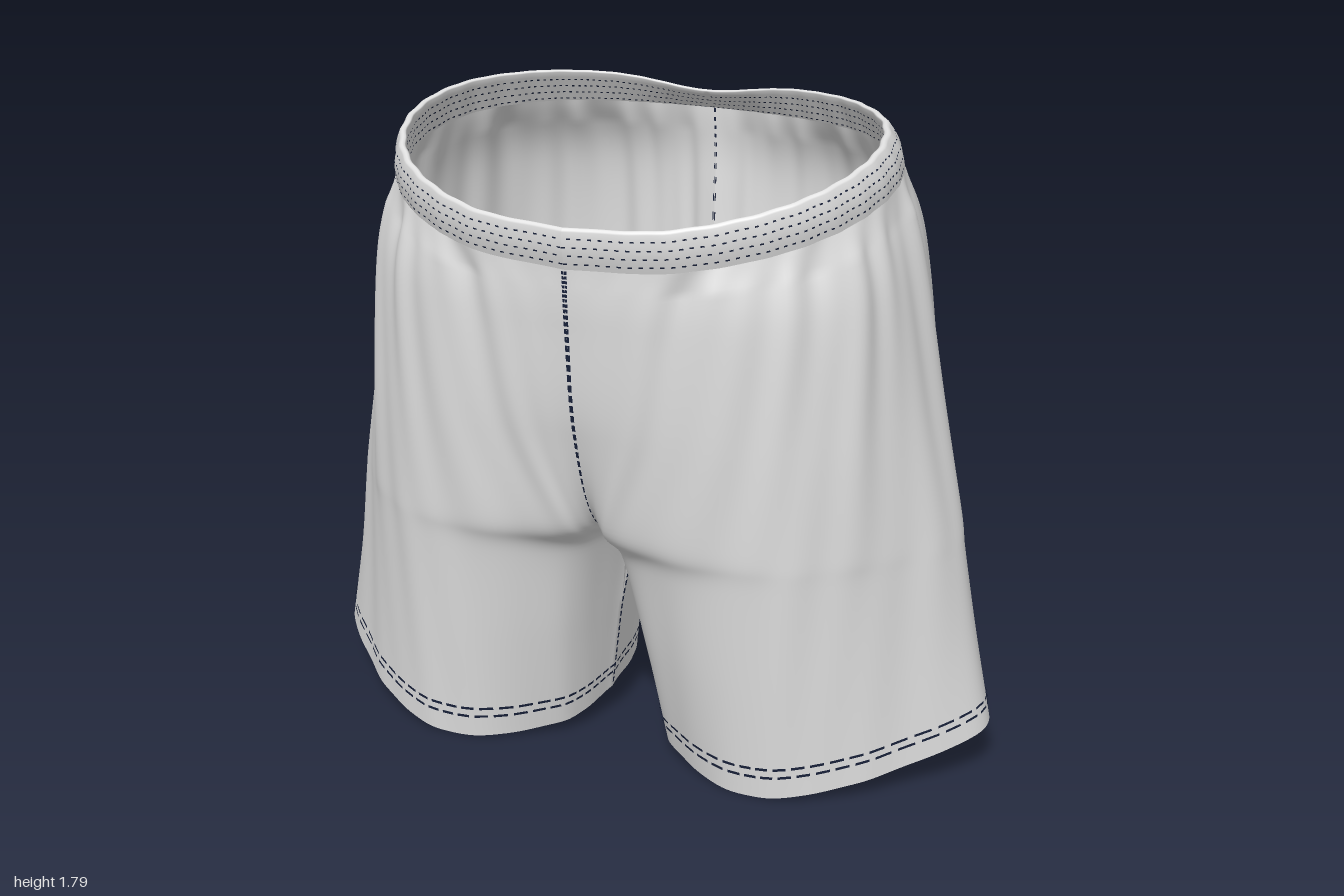
import * as THREE from 'three';
import { mergeVertices } from 'three/addons/utils/BufferGeometryUtils.js';

const fabric = new THREE.MeshStandardMaterial({ color: 0xe0e0e0, side: THREE.DoubleSide });
fabric.name = 'light grey fabric';
const thread = new THREE.MeshStandardMaterial({ color: 0x18213a, side: THREE.DoubleSide });
thread.name = 'navy thread';

// Half sections from waist to hem: x, z pairs from front seam, round the outside, to back seam
const SECTIONS = [
  [0, .54, .28, .505, .51, .39, .65, .23, .70, .03, .65, -.18, .51, -.34, .34, -.42, .16, -.455, 0, -.465],
  [0, .53, .25, .515, .53, .42, .70, .24, .755, .02, .70, -.25, .54, -.45, .34, -.515, .15, -.51, 0, -.47],
  [0, .49, .20, .50, .51, .44, .72, .26, .825, 0, .74, -.28, .57, -.505, .34, -.545, .13, -.50, 0, -.42],
  [0, .37, .10, .45, .48, .445, .735, .26, .89, -.02, .76, -.275, .575, -.515, .34, -.545, .11, -.47, 0, -.24],
  [0, .12, .10, .37, .47, .435, .735, .26, .91, -.02, .77, -.275, .58, -.52, .35, -.54, .11, -.38, 0, .12],
  [.045, .10, .14, .31, .46, .41, .735, .265, .95, -.03, .79, -.27, .59, -.525, .37, -.535, .14, -.29, .045, .10],
  [.09, .07, .17, .24, .45, .38, .74, .265, 1, -.04, .81, -.26, .60, -.525, .38, -.53, .16, -.26, .09, .07],
];
const HEIGHT = [1.645, 1.43, 1.05, .74, .62, .36, .08];
const TILT = [.19, .15, .05, 0, 0, 0, 0];
const BEND = [.20, .08, 0, 0, 0, 0, 0];
const LIFT = [0, -.05, -.08, -.03, .05, .05, .03, 0, -.02, 0];
const U = 9, V = 6;

// Smooth interpolation through a list of numbers
function spline(a, t) {
  const n = a.length - 1, i = Math.min(Math.floor(t), n - 1), f = t - i;
  const p1 = a[i], p2 = a[i + 1];
  const p0 = i > 0 ? a[i - 1] : 2 * p1 - p2;
  const p3 = i + 2 <= n ? a[i + 2] : 2 * p2 - p1;
  return p1 + .5 * f * (p2 - p0 + f * (2 * p0 - 5 * p1 + 4 * p2 - p3 + f * (3 * (p1 - p2) + p3 - p0)));
}
const column = (row, k) => row.filter((_, i) => i % 2 === k);
const XS = SECTIONS.map(r => column(r, 0));
const ZS = SECTIONS.map(r => column(r, 1));
const sectionY = (i, z) => HEIGHT[i] - TILT[i] * z - BEND[i] * z * z;

// Smooth leg surface before folds
function smoothLeg(u, v) {
  const xs = XS.map(r => spline(r, u)), zs = ZS.map(r => spline(r, u));
  const lift = spline(LIFT, u);
  const ys = zs.map((z, i) => sectionY(i, z) + lift * Math.max(0, i - 4) / 2);
  return new THREE.Vector3(Math.max(0, spline(xs, v)), spline(ys, v), spline(zs, v));
}

// Leg surface with soft gathers hanging from the waist
function leg(u, v) {
  const p = smoothLeg(u, v), e = .02;
  const a = smoothLeg(Math.max(0, u - e), v), b = smoothLeg(Math.min(U, u + e), v);
  const dx = b.x - a.x, dz = b.z - a.z, len = Math.hypot(dx, dz) || 1;
  const ends = Math.min(1, u / 1.2, (U - u) / 1.2);
  const fade = ends * Math.min(1, v * 2.5) * (.2 + .8 * Math.exp(-v * .45));
  const fold = fade * (.008 * Math.sin(4.7 * u + .25 * v) + .008 * Math.sin(9.1 * u + 1 - .3 * v)
    + .004 * Math.sin(15 * u + v));
  p.x = Math.max(0, p.x - dz / len * fold);
  p.z += dx / len * fold;
  return p;
}

// Elastic waistband: v 0..1 outer face, 1..2 rim, 2..3 inner face
function band(u, v) {
  const x = spline(XS[0], u), z = spline(ZS[0], u);
  const h = v < 1 ? v : v < 2 ? 1 : 3 - v;
  const inner = v < 1 ? 0 : v < 2 ? v - 1 : 1;
  const bulge = .012 * Math.sin(Math.PI * h) * (1 - inner);
  const ripple = .003 * Math.sin(u * 14) * Math.min(1, u, U - u);
  const k = 1 - .04 * h - .03 * inner + bulge + ripple;
  const px = x * k, pz = .05 + (z - .05) * k + .035 * h;
  const dip = z < 0 ? .035 * Math.exp(-((x / .2) ** 2)) : 0;
  const y0 = sectionY(0, z), y1 = 1.755 - .165 * pz - .25 * pz * pz - dip;
  return new THREE.Vector3(px, y0 + (y1 - y0) * h + .006 * Math.sin(Math.PI * inner), pz);
}

// Grid of faces over surface(u, v), mirrored by side
function sheet(surface, vMax, nu, nv, side, flip) {
  const pos = [], index = [];
  for (let j = 0; j <= nv; j++) for (let i = 0; i <= nu; i++) {
    const p = surface(U * i / nu, vMax * j / nv);
    pos.push(p.x * side, p.y, p.z);
  }
  for (let j = 0; j < nv; j++) for (let i = 0; i < nu; i++) {
    const a = j * (nu + 1) + i, b = a + 1, c = a + nu + 1, d = c + 1;
    if (side * flip > 0) index.push(a, c, b, b, c, d);
    else index.push(a, b, c, b, d, c);
  }
  const g = new THREE.BufferGeometry();
  g.setAttribute('position', new THREE.Float32BufferAttribute(pos, 3));
  g.setIndex(index);
  const merged = mergeVertices(g, 1e-5);
  merged.computeVertexNormals();
  return merged;
}

// Thin stitches [u0, u1, v0, v1] laid just off both faces of a surface
function stitches(surface, list, side) {
  const pos = [], index = [];
  for (const [u0, u1, v0, v1] of list) {
    const c = [surface(u0, v0), surface(u1, v0), surface(u0, v1), surface(u1, v1)];
    const n = c[1].clone().sub(c[0]).cross(c[2].clone().sub(c[0])).normalize();
    for (const off of [-.004, .004]) {
      const s = pos.length / 3;
      for (const p of c) pos.push((p.x + n.x * off) * side, p.y + n.y * off, p.z + n.z * off);
      index.push(s, s + 1, s + 2, s + 1, s + 3, s + 2);
    }
  }
  const g = new THREE.BufferGeometry();
  g.setAttribute('position', new THREE.Float32BufferAttribute(pos, 3));
  g.setIndex(index);
  g.computeVertexNormals();
  return g;
}

// Dashed row along u at height v
function dashRow(v, width, count, fill, start) {
  return Array.from({ length: count }, (_, i) => {
    const u = U * (i + start) / count;
    return [u, Math.min(U, u + fill * U / count), v, v + width];
  });
}

export function createModel() {
  const group = new THREE.Group();
  const add = (name, geometry, material) => {
    const mesh = new THREE.Mesh(geometry, material);
    mesh.name = name;
    group.add(mesh);
  };

  const hemRows = [5.70, 5.78].flatMap((v, i) => dashRow(v, .025, 56, .72, i * .3));
  const bandRows = [.16, .38, .60, .82, 2.2, 2.42, 2.64, 2.86]
    .flatMap((v, i) => dashRow(v, .04, 90, .4, (i % 2) * .5));
  const seam = [];
  for (let v = .02; v < 5.9; v += .09) seam.push([0, .025, v, v + .06]);
  const backSeam = [];
  for (let v = .02; v < 3.9; v += .14) backSeam.push([U - .02, U, v, v + .06]);

  for (const [word, side] of [['left', 1], ['right', -1]]) {
    add(word + 'Leg', sheet(leg, V, 160, 72, side, 1), fabric);
    add(word + 'Waistband', sheet(band, 3, 120, 18, side, -1), fabric);
    add(word + 'HemStitching', stitches(leg, hemRows, side), thread);
    add(word + 'WaistStitching', stitches(band, bandRows, side), thread);
    add(word + 'FrontSeamStitching', stitches(leg, seam, side), thread);
    add(word + 'BackSeamStitching', stitches(leg, backSeam, side), thread);
  }
  return group;
}
